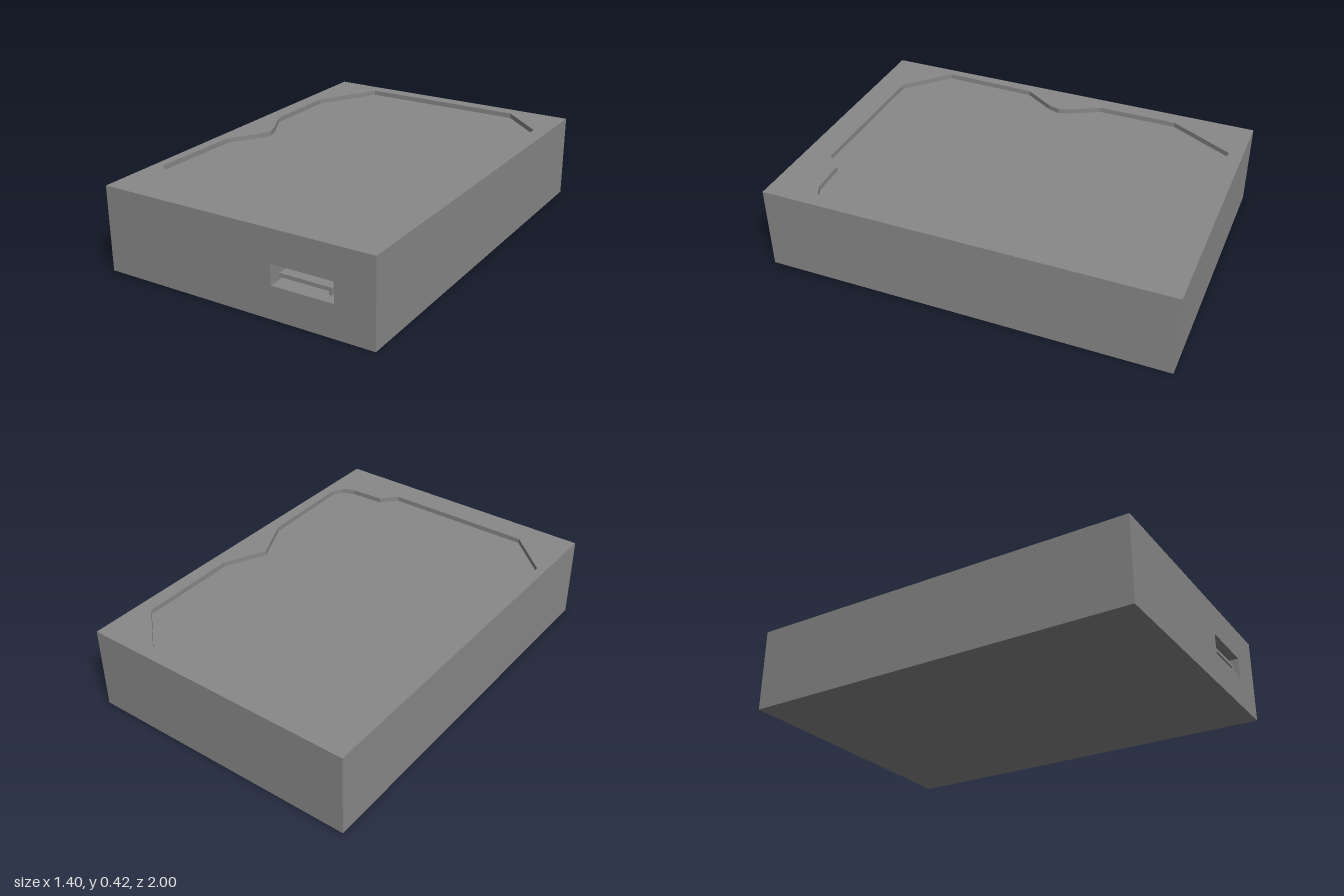
import * as THREE from 'three';

const W = 1.4, H = 0.42, D = 2;
const grey = new THREE.MeshStandardMaterial({ color: 0x888888 });
grey.name = 'metalGrey';

function add(parent, name, geometry) {
  const mesh = new THREE.Mesh(geometry, grey);
  mesh.name = name;
  parent.add(mesh);
  return mesh;
}

const toPoints = (list) => list.map(([x, y]) => new THREE.Vector2(x, y));

// Inward-facing walls of a pocket sunk below z = 0
function pocketWalls(points, depth) {
  const positions = [];
  points.forEach((a, i) => {
    const b = points[(i + 1) % points.length];
    positions.push(a.x, a.y, 0, b.x, b.y, 0, b.x, b.y, -depth);
    positions.push(a.x, a.y, 0, b.x, b.y, -depth, a.x, a.y, -depth);
  });
  const g = new THREE.BufferGeometry();
  g.setAttribute('position', new THREE.Float32BufferAttribute(positions, 3));
  g.computeVertexNormals();
  return g;
}

// Rectangular face looking along +z, with a pocket sunk into it
function pocketFace(name, w, h, list, depth) {
  const group = new THREE.Group();
  group.name = name;
  const points = toPoints(list);
  if (THREE.ShapeUtils.isClockWise(points)) points.reverse();
  const face = new THREE.Shape(toPoints([[-w / 2, -h / 2], [w / 2, -h / 2], [w / 2, h / 2], [-w / 2, h / 2]]));
  face.holes.push(new THREE.Path(points));
  add(group, name + 'Surface', new THREE.ShapeGeometry(face));
  add(group, name + 'PocketWalls', pocketWalls(points, depth));
  add(group, name + 'PocketFloor', new THREE.ShapeGeometry(new THREE.Shape(points))).position.z = -depth;
  return group;
}

export function createModel() {
  const model = new THREE.Group();
  model.name = 'driveCase';

  // Plain outer sides
  for (const side of [-1, 1]) {
    const panel = add(model, side > 0 ? 'leftSide' : 'rightSide', new THREE.PlaneGeometry(D, H));
    panel.rotation.y = side * Math.PI / 2;
    panel.position.set(side * W / 2, H / 2, 0);
  }
  const back = add(model, 'backSide', new THREE.PlaneGeometry(W, H));
  back.rotation.y = Math.PI;
  back.position.set(0, H / 2, -D / 2);
  add(model, 'underside', new THREE.PlaneGeometry(W, D)).rotation.x = Math.PI / 2;

  // Top cover with its shallow waisted recess, outline as x and z
  const recess = [
    [-0.445, -0.93], [0.41, -0.93], [0.625, -0.73], [0.632, -0.22], [0.535, -0.01],
    [0.636, 0.21], [0.648, 0.70], [0.617, 0.755], [0.56, 0.78], [0.385, 0.788],
    [0.315, 0.865], [-0.445, 0.865], [-0.655, 0.67], [-0.643, 0.2], [-0.545, 0.05],
    [-0.525, -0.01], [-0.545, -0.07], [-0.62, -0.21], [-0.62, -0.61],
  ].map(([x, z]) => [x, -z]);
  const top = pocketFace('topCover', W, D, recess, 0.025);
  top.rotation.x = -Math.PI / 2;
  top.position.y = H;
  model.add(top);

  // Front with the connector socket
  const socket = [[0.195, -0.05], [0.505, -0.05], [0.505, 0.05], [0.195, 0.05]];
  const front = pocketFace('front', W, H, socket, 0.1);
  front.position.set(0, H / 2, D / 2);
  model.add(front);

  // L-shaped connector tongue inside the socket
  const tongue = new THREE.Shape(toPoints([
    [0.225, 0.2], [0.468, 0.2], [0.468, 0.182], [0.483, 0.182], [0.483, 0.218], [0.225, 0.218],
  ]));
  add(model, 'connectorTongue', new THREE.ExtrudeGeometry(tongue, { depth: 0.08, bevelEnabled: false }))
    .position.z = D / 2 - 0.1;

  return model;
}
